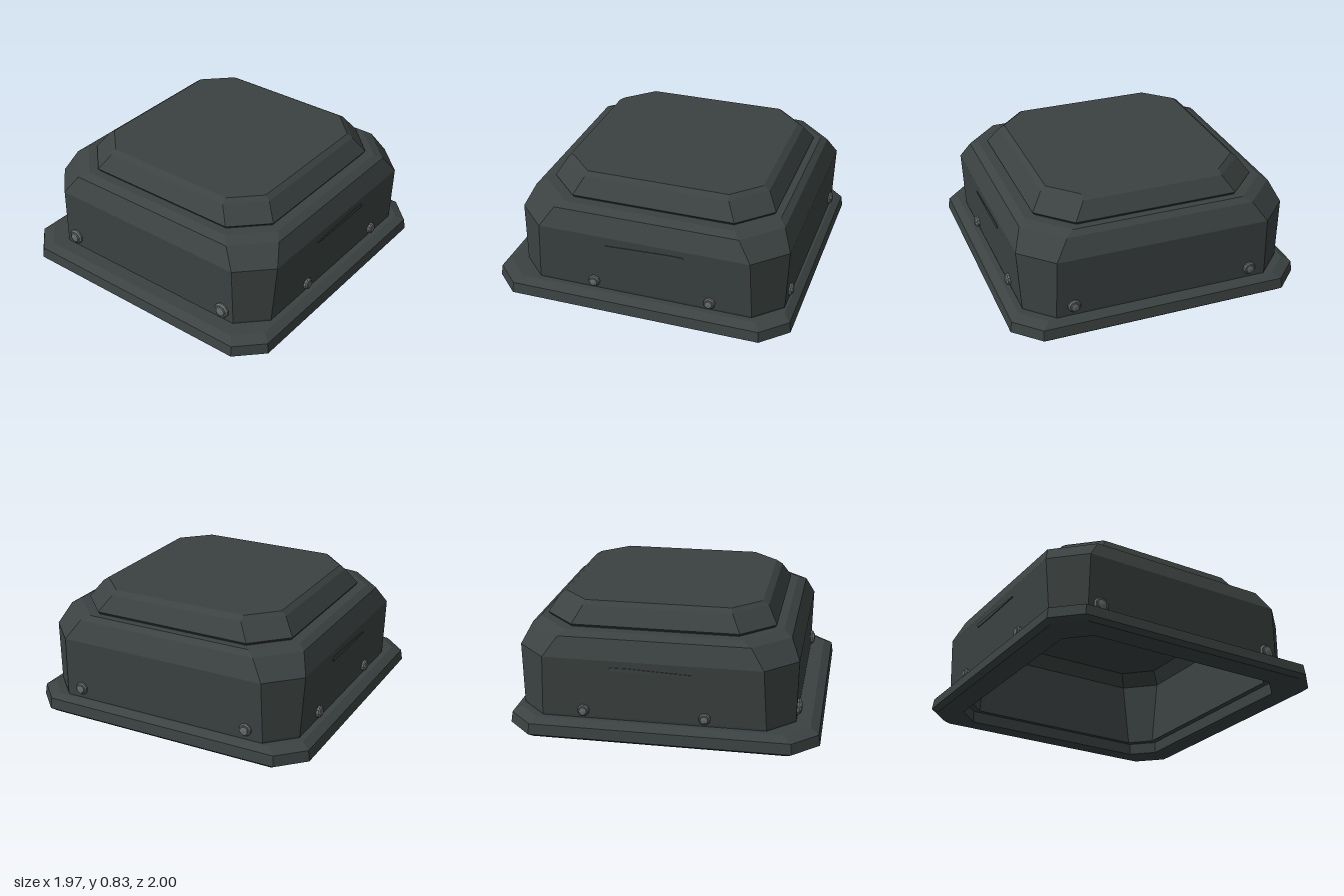
import * as THREE from 'three';

const shellMat = new THREE.MeshStandardMaterial({ color: 0x3b4241 });
shellMat.name = 'dark green grey';
const boltMat = new THREE.MeshStandardMaterial({ color: 0x686c6c });
boltMat.name = 'bolt grey';

// Rectangle with cut corners: height, half width, front z, back z, corner cut
function ring([y, hx, zf, zb, c]) {
  return [
    [hx, zf - c], [hx, zb + c], [hx - c, zb], [c - hx, zb],
    [-hx, zb + c], [-hx, zf - c], [c - hx, zf], [hx - c, zf],
  ].map(([x, z]) => [x, y, z]);
}

// Faceted skin through a list of rings, with optional end caps
function loft(name, profile, { capStart = false, capEnd = false } = {}) {
  const rings = profile.map(ring);
  const pos = [];
  const tri = (a, b, c) => pos.push(...a, ...b, ...c);
  for (let r = 0; r < rings.length - 1; r++) {
    for (let i = 0; i < 8; i++) {
      const j = (i + 1) % 8;
      const lo = rings[r], up = rings[r + 1];
      tri(lo[i], lo[j], up[j]);
      tri(lo[i], up[j], up[i]);
    }
  }
  const first = rings[0], last = rings[rings.length - 1];
  for (let i = 1; i < 7; i++) {
    if (capStart) tri(first[0], first[i + 1], first[i]);
    if (capEnd) tri(last[0], last[i], last[i + 1]);
  }
  const geo = new THREE.BufferGeometry();
  geo.setAttribute('position', new THREE.Float32BufferAttribute(pos, 3));
  geo.computeVertexNormals();
  const mesh = new THREE.Mesh(geo, shellMat);
  mesh.name = name;
  return mesh;
}

// Round bolt head with a bevelled collar, pointing along +y before it is turned
function boltGeometry(r) {
  const pts = [[1, -0.3], [1, 0.3], [0.82, 0.5], [0.68, 0.5], [0.6, 0.62], [0, 0.7]];
  const geo = new THREE.LatheGeometry(pts.map(([x, y]) => new THREE.Vector2(x * r, y * r)), 10).toNonIndexed();
  geo.computeVertexNormals();
  return geo;
}

export function createModel() {
  const model = new THREE.Group();
  model.name = 'housing';

  // Flange, from its inner lip round to its upper face
  model.add(loft('flange', [
    [0.08, 0.76, 0.78, -0.82, 0.13],
    [0.08, 0.80, 0.82, -0.85, 0.14],
    [0.0, 0.80, 0.82, -0.85, 0.14],
    [0.0, 0.95, 0.97, -0.97, 0.16],
    [0.025, 0.985, 1.0, -1.0, 0.165],
    [0.095, 0.975, 0.99, -0.99, 0.16],
    [0.125, 0.92, 0.935, -0.945, 0.15],
    [0.125, 0.85, 0.81, -0.90, 0.15],
  ]));

  // Hollow inside, from ceiling down to the lip
  model.add(loft('cavity', [
    [0.62, 0.72, 0.67, -0.77, 0.18],
    [0.53, 0.78, 0.73, -0.83, 0.19],
    [0.08, 0.76, 0.78, -0.82, 0.13],
  ], { capStart: true }));

  // Main body with bevelled shoulder
  model.add(loft('body', [
    [0.115, 0.88, 0.84, -0.93, 0.17],
    [0.14, 0.885, 0.84, -0.932, 0.17],
    [0.53, 0.905, 0.848, -0.945, 0.2],
    [0.655, 0.85, 0.79, -0.885, 0.23],
    [0.683, 0.80, 0.735, -0.845, 0.23],
  ], { capEnd: true }));

  // Raised lid
  model.add(loft('lid', [
    [0.675, 0.735, 0.675, -0.795, 0.205],
    [0.686, 0.735, 0.675, -0.795, 0.205],
    [0.7, 0.745, 0.686, -0.805, 0.21],
    [0.805, 0.67, 0.625, -0.74, 0.205],
    [0.83, 0.635, 0.585, -0.7, 0.175],
  ], { capEnd: true }));

  // Bolts on all four walls
  const addBolt = (name, r, pos, rot) => {
    const bolt = new THREE.Mesh(boltGeometry(r), boltMat);
    bolt.name = name;
    bolt.position.set(...pos);
    bolt.rotation.set(...rot);
    model.add(bolt);
  };
  for (const s of [-1, 1]) {
    addBolt('frontBolt', 0.052, [s * 0.63, 0.195, 0.836], [Math.PI / 2, 0, 0]);
    addBolt('backBolt', 0.042, [s * 0.6, 0.195, -0.932], [-Math.PI / 2, 0, 0]);
    for (const z of [0.285, -0.49]) {
      addBolt('sideBolt', 0.038, [s * 0.892, 0.182, z], [0, 0, -s * Math.PI / 2]);
    }
  }

  // Slim tapered ridge on each side wall
  for (const s of [-1, 1]) {
    const outline = [[0.2, 0.462], [0.2, 0.47], [-0.2, 0.487], [-0.31, 0.487], [-0.325, 0.475], [-0.31, 0.459], [-0.1, 0.459]];
    const shape = new THREE.Shape(outline.map(([z, y]) => new THREE.Vector2(-s * z, y)));
    const geo = new THREE.ExtrudeGeometry(shape, { depth: 0.009, bevelEnabled: false });
    const ridge = new THREE.Mesh(geo, shellMat);
    ridge.name = 'sideRidge';
    ridge.rotation.y = s * Math.PI / 2;
    ridge.position.x = s * 0.898;
    model.add(ridge);
  }

  return model;
}
